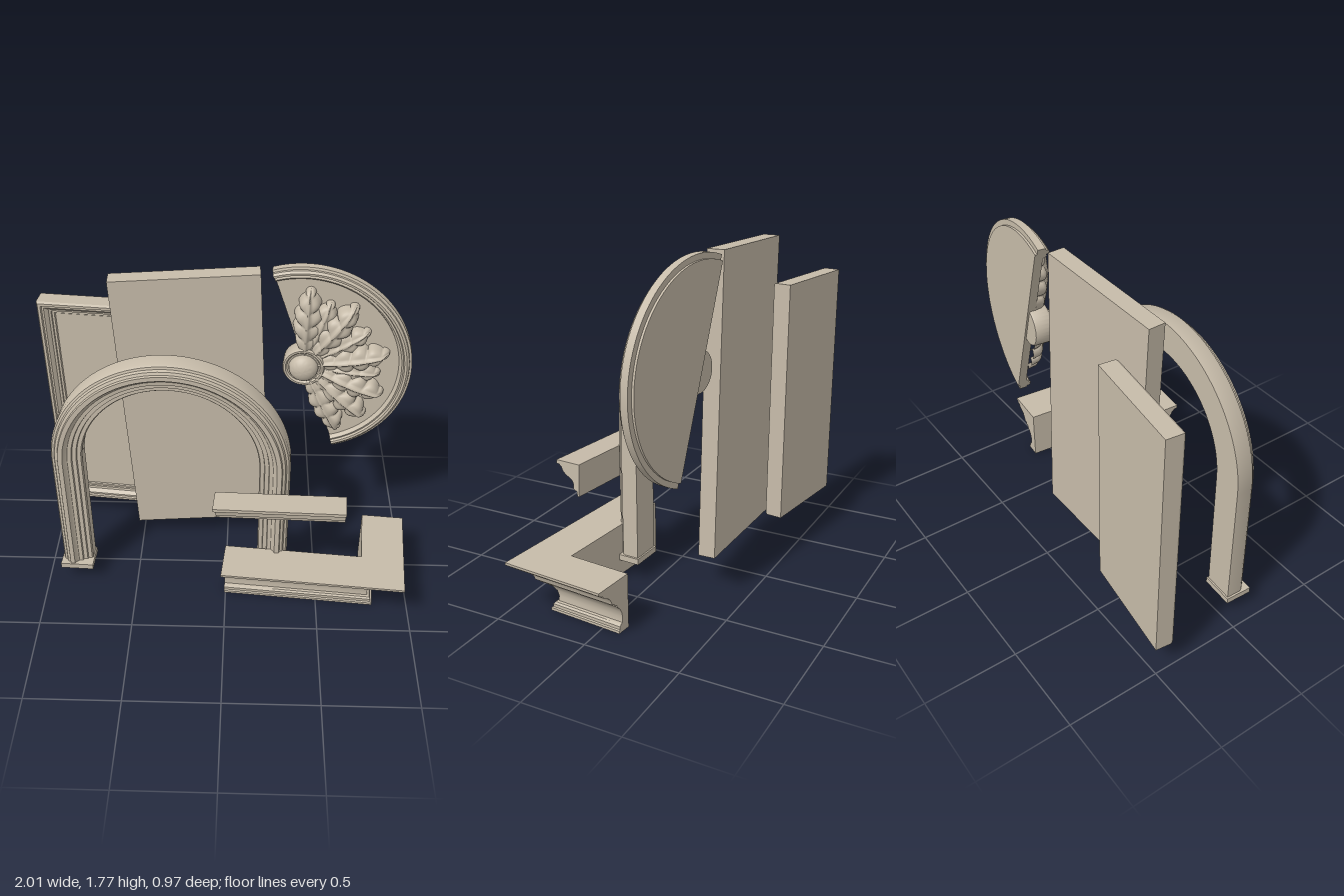
import * as THREE from 'three';
import { toCreasedNormals } from 'three/addons/utils/BufferGeometryUtils.js';

const stone = new THREE.MeshStandardMaterial({ color: 0xc6bba9 });
stone.name = 'stone';
const V = (x, y, z) => new THREE.Vector3(x, y, z);

function part(name, geometry, x = 0, y = 0, z = 0) {
  const mesh = new THREE.Mesh(geometry, stone);
  mesh.name = name;
  mesh.position.set(x, y, z);
  return mesh;
}

function placed(name, position, rotY, rotZ, ...children) {
  const group = new THREE.Group();
  group.name = name;
  group.position.set(...position);
  group.rotation.set(0, rotY, rotZ);
  group.add(...children);
  return group;
}

// Carries a moulding profile [u, v] through stations { p, u, v }; open runs get end caps
function sweep(profile, stations, closed = false) {
  const pts = profile.map(([a, b]) => new THREE.Vector2(a, b));
  if (THREE.ShapeUtils.isClockWise(pts)) pts.reverse();
  const rings = stations.map(s => pts.map(q => s.p.clone().addScaledVector(s.u, q.x).addScaledVector(s.v, q.y)));
  const tris = [];
  const n = pts.length;
  const spans = closed ? rings.length : rings.length - 1;
  for (let k = 0; k < spans; k++) {
    const a = rings[k], b = rings[(k + 1) % rings.length];
    for (let i = 0; i < n; i++) {
      const j = (i + 1) % n;
      tris.push([a[i], b[i], b[j]], [a[i], b[j], a[j]]);
    }
  }
  if (!closed) {
    const first = rings[0], last = rings[rings.length - 1];
    for (const [i, j, k] of THREE.ShapeUtils.triangulateShape(pts, [])) {
      tris.push([first[i], first[j], first[k]], [last[i], last[k], last[j]]);
    }
  }
  // Turn the shell outwards and drop empty triangles
  const volume = tris.reduce((sum, [a, b, c]) => sum + a.dot(b.clone().cross(c)), 0);
  const out = [];
  for (const [a, b, c] of tris) {
    if (b.clone().sub(a).cross(c.clone().sub(a)).length() < 1e-10) continue;
    for (const q of volume < 0 ? [a, c, b] : [a, b, c]) out.push(q.x, q.y, q.z);
  }
  const g = new THREE.BufferGeometry();
  g.setAttribute('position', new THREE.Float32BufferAttribute(out, 3));
  return toCreasedNormals(g, 0.55);
}

// Stations around the z axis
function arc(from, to, count, y = 0) {
  return Array.from({ length: count + 1 }, (_, i) => {
    const a = from + (to - from) * i / count;
    return { p: V(0, y, 0), u: V(Math.cos(a), Math.sin(a), 0), v: V(0, 0, 1) };
  });
}

// Framed panel with mitred moulding
function framedPanel() {
  const w = 0.292, h = 0.665, up = V(0, 0, 1);
  const corners = [[-1, -1], [1, -1], [1, 1], [-1, 1]].map(([x, y]) => (
    { p: V(x * w, y * h, 0), u: V(-x, -y, 0), v: up }));
  const profile = [[0, 0], [0, 0.088], [0.008, 0.1], [0.022, 0.1], [0.026, 0.09], [0.036, 0.09],
    [0.044, 0.082], [0.054, 0.07], [0.066, 0.066], [0.068, 0.058], [0.08, 0.058], [0.086, 0.048], [0.086, 0]];
  return placed('framedPanel', [-0.70, 0.815, -0.453], -0.12, 0.015,
    part('panelFrame', sweep(profile, corners, true)),
    part('panelField', new THREE.BoxGeometry(2 * w - 0.17, 2 * h - 0.17, 0.052), 0, 0, 0.026));
}

// Round arch on two plinths
function arch() {
  const foot = 0.12, spring = 0.83;
  const stations = arc(0, Math.PI, 48, spring);
  stations.unshift({ ...stations[0], p: V(0, foot, 0) });
  stations.push({ ...stations[stations.length - 1], p: V(0, foot, 0) });
  const profile = [[0.462, 0], [0.462, 0.07], [0.468, 0.078], [0.488, 0.078], [0.491, 0.09], [0.512, 0.09],
    [0.515, 0.102], [0.535, 0.104], [0.548, 0.115], [0.556, 0.13], [0.58, 0.13], [0.584, 0.118],
    [0.598, 0.112], [0.604, 0.098], [0.616, 0.094], [0.624, 0.08], [0.624, 0]];
  const group = placed('arch', [-0.285, 0, 0.06], -0.048, 0, part('archMoulding', sweep(profile, stations)));
  for (const side of [-1, 1]) {
    group.add(part('archPlinth', new THREE.BoxGeometry(0.18, 0.032, 0.146), side * 0.545, 0.106, 0.064));
  }
  return group;
}

// Lobed leaf growing along +x, domed over the field
function leafGeometry(length, width, height) {
  const g = new THREE.PlaneGeometry(1, 2, 54, 18);
  const pos = g.attributes.position;
  for (let i = 0; i < pos.count; i++) {
    const t = pos.getX(i) + 0.5, s = pos.getY(i), m = Math.abs(s);
    const env = Math.pow(Math.max(0, Math.sin(Math.PI * Math.pow(0.06 + 0.94 * t, 0.9))), 0.6);
    const lobe = Math.abs(Math.sin(Math.PI * t * 4.5));
    const half = width * env * (0.62 + 0.38 * Math.sqrt(lobe));
    const dome = Math.sqrt(Math.max(0, 1 - m ** 4)) * (0.6 + 0.4 * Math.sin(Math.PI * t * 0.85));
    const relief = 0.2 * Math.exp(-((s / 0.13) ** 2)) + 0.22 * m * (lobe - 0.5) - 0.12 * m;
    const end = Math.min(1, (1 - t) * 9);
    pos.setXYZ(i, t * length + 0.035 * m * env * (1 - t * 0.5), s * half, height * dome * (0.82 + relief) * Math.sqrt(end));
  }
  g.computeVertexNormals();
  return g;
}

// Half medallion with rim, leaves and central boss
function medallion() {
  const roll = 0.335;
  const disc = [[0, 0], [0.528, 0], [0.528, 0.012], [0.557, 0.012], [0.557, 0.052], [0.545, 0.056], [0.543, 0.066],
    [0.532, 0.076], [0.52, 0.074], [0.514, 0.062], [0.505, 0.066], [0.497, 0.06], [0.49, 0.045], [0, 0.045]];
  const boss = [[0, 0.01], [0.105, 0.01], [0.11, 0.02], [0.11, 0.098], [0.104, 0.108], [0.094, 0.108], [0.086, 0.098], [0.078, 0.098]];
  for (let i = 0; i <= 8; i++) {
    const a = i / 8 * Math.PI / 2;
    boss.push([0.076 * Math.cos(a), 0.1 + 0.056 * Math.sin(a)]);
  }
  const group = placed('medallion', [0.405, 1.213, -0.312], -0.12, roll,
    part('medallionDisc', sweep(disc, arc(-Math.PI / 2, Math.PI / 2, 56))),
    part('medallionBoss', sweep(boss, arc(0, Math.PI * 2, 32).slice(0, 32), true)));
  const upper = leafGeometry(0.38, 0.078, 0.098);
  const lower = leafGeometry(0.33, 0.07, 0.07);
  const addLeaf = (geometry, degrees) => {
    const a = degrees * Math.PI / 180 - roll;
    const leaf = part('leaf', geometry, 0.07 * Math.cos(a), 0.07 * Math.sin(a), 0.044);
    leaf.rotation.z = a;
    group.add(leaf);
  };
  for (const d of [88, 56, 14, -19, -41, -63]) addLeaf(upper, d);
  for (const d of [72, 35, -3]) addLeaf(lower, d);
  return group;
}

// Short straight cornice
function straightCornice() {
  const profile = [[0, 0], [0.01, 0], [0.015, 0.025], [0.033, 0.033], [0.036, 0.065], [0.044, 0.08], [0.06, 0.09],
    [0.082, 0.1], [0.1, 0.118], [0.108, 0.138], [0.118, 0.142], [0.12, 0.148], [0.138, 0.15], [0.138, 0.168], [0, 0.168]];
  const ends = [0, 0.682].map(x => ({ p: V(x, 0, 0), u: V(0, 0, 1), v: V(0, 1, 0) }));
  return placed('straightCornice', [-0.05, 0.535, 0.2], -0.068, 0.032, part('corniceMoulding', sweep(profile, ends)));
}

// Mitred corner cornice, profile measured inwards from its outer top edge
function cornerCornice() {
  const profile = [[0.228, 0], [0.15, 0], [0.15, 0.014], [0.158, 0.018], [0.158, 0.034], [0.166, 0.044], [0.178, 0.048],
    [0.18, 0.075], [0.174, 0.105], [0.16, 0.13], [0.14, 0.148], [0.136, 0.162], [0.118, 0.164], [0.116, 0.176],
    [0.1, 0.18], [0.094, 0.2], [0.078, 0.222], [0.054, 0.236], [0.036, 0.246], [0.032, 0.258], [0.014, 0.262],
    [0.01, 0.272], [0, 0.274], [0, 0.287], [0.228, 0.287]];
  const up = V(0, 1, 0);
  const stations = [
    { p: V(-0.97, 0, 0), u: V(0, 0, -1), v: up },
    { p: V(0, 0, 0), u: V(-1, 0, -1), v: up },
    { p: V(0, 0, -0.567), u: V(-1, 0, 0), v: up },
  ];
  return placed('cornerCornice', [0.945, 0, 0.48], -0.088, 0, part('cornerMoulding', sweep(profile, stations)));
}

export function createModel() {
  const model = new THREE.Group();
  model.name = 'plasterMouldings';
  model.add(framedPanel(), arch(), medallion(), straightCornice(), cornerCornice());
  // Plain leaning slab
  model.add(placed('plainSlab', [-0.18, 0.94, -0.248], 0.035, 0.05,
    part('slab', new THREE.BoxGeometry(0.76, 1.582, 0.09))));
  return model;
}
